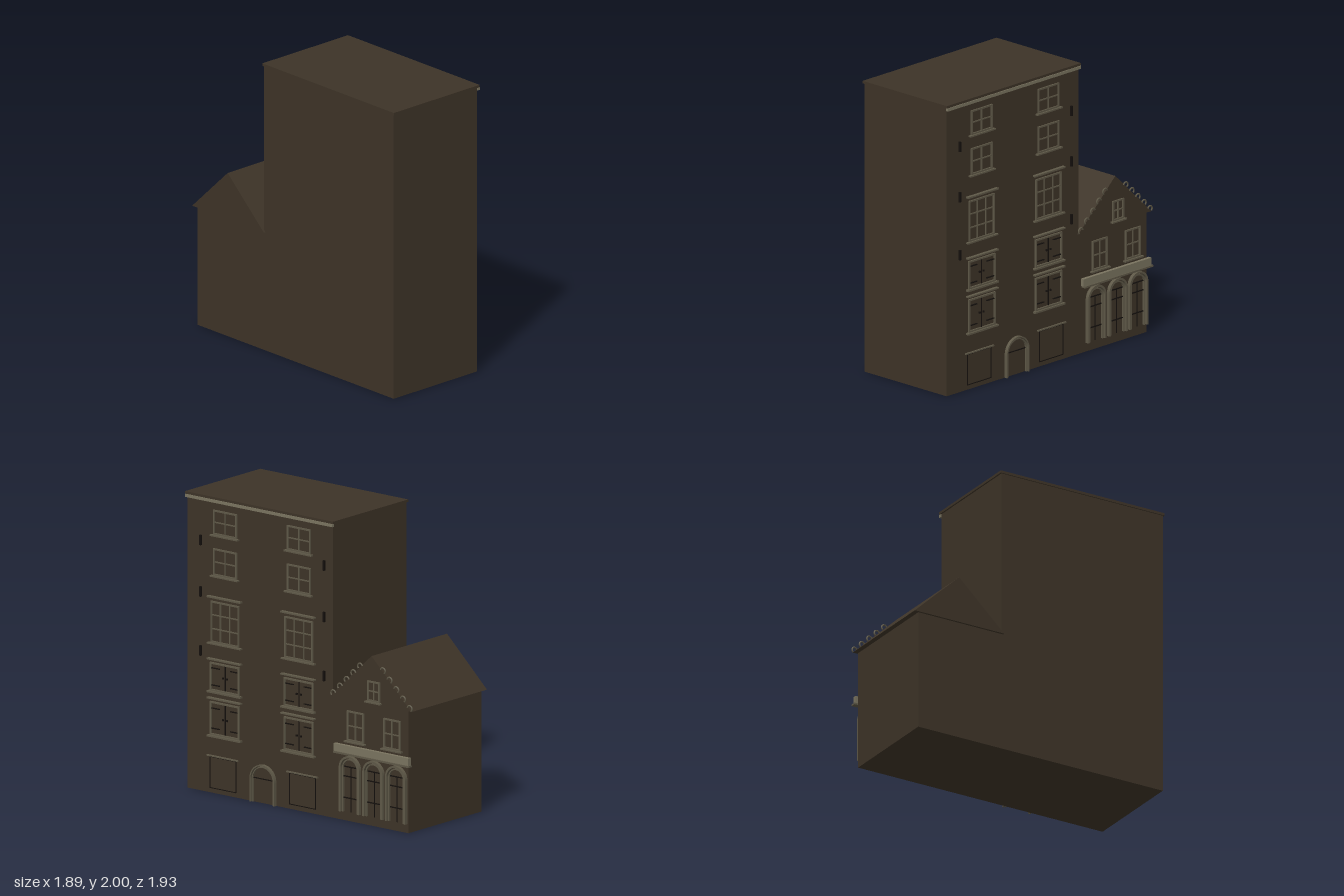
import * as THREE from 'three';

const mat = (name, color) => Object.assign(new THREE.MeshStandardMaterial({ color }), { name });

export function createModel() {
  const wall = mat('wall brown', 0x3d3327);
  const trim = mat('pale stone trim', 0x79735f);
  const frame = mat('frame stone', 0x5e5847);
  const iron = mat('dark iron', 0x14100d);

  const model = new THREE.Group();
  model.name = 'townHouses';
  // Facade frame: x runs along the facade, z points out of it
  const b = new THREE.Group();
  b.name = 'building';
  b.rotation.y = 2.33;
  b.position.set(0.925, 0, 0.435);
  model.add(b);

  const add = (name, geo, material, x = 0, y = 0, z = 0) => {
    const m = new THREE.Mesh(geo, material);
    m.name = name;
    m.position.set(x, y, z);
    b.add(m);
    return m;
  };
  // Box from its lower and upper limits
  const block = (name, material, x0, x1, y0, y1, z0, z1) =>
    add(name, new THREE.BoxGeometry(x1 - x0, y1 - y0, z1 - z0), material,
      (x0 + x1) / 2, (y0 + y1) / 2, (z0 + z1) / 2);
  // Horizontal or vertical strip lying on the facade
  const strip = (name, material, cx, cy, w, h, d) =>
    block(name, material, cx - w / 2, cx + w / 2, cy - h / 2, cy + h / 2, -0.002, d);

  // Main volumes
  const D = -0.746;
  block('tower', wall, 0, 1.24, 0, 1.985, D, 0);
  block('towerRoof', wall, -0.01, 1.25, 1.983, 2, D - 0.008, 0.012);
  block('towerCornice', trim, -0.006, 1.246, 1.963, 1.983, -0.002, 0.018);
  block('house', wall, 1.24, 1.88, 0, 0.826, D, 0);
  const gable = new THREE.Shape([[1.228, 0.825], [1.915, 0.825], [1.575, 1.147]]
    .map(p => new THREE.Vector2(...p)));
  add('houseRoof', new THREE.ExtrudeGeometry(gable, { depth: 0.77, bevelEnabled: false }), wall, 0, 0, -0.76);
  const G = 0.01; // front plane of the gable

  // Rectangular frame with glazing bars
  const rectFrame = (name, material, cx, y0, y1, w, t, d, z = 0) => {
    for (const s of [-1, 1]) {
      const x = cx + s * (w - t) / 2;
      block(name + 'Side', material, x - t / 2, x + t / 2, y0, y1, z - 0.002, z + d);
      const y = s < 0 ? y0 + t / 2 : y1 - t / 2;
      block(name + 'Rail', material, cx - w / 2, cx + w / 2, y - t / 2, y + t / 2, z - 0.002, z + d);
    }
  };
  const windowAt = (cx, y0, y1, w, cols, rows, sill, z = 0) => {
    rectFrame('windowFrame', frame, cx, y0, y1, w, 0.011, 0.01, z);
    for (let i = 1; i < cols; i++) {
      const x = cx - w / 2 + w * i / cols;
      block('windowMullion', frame, x - 0.004, x + 0.004, y0, y1, z - 0.002, z + 0.008);
    }
    for (let j = 1; j < rows; j++) {
      const y = y0 + (y1 - y0) * j / rows;
      block('windowBar', frame, cx - w / 2, cx + w / 2, y - 0.004, y + 0.004, z - 0.002, z + 0.007);
    }
    block('windowSill', frame, cx - sill / 2, cx + sill / 2, y0 - 0.01, y0, z - 0.002, z + 0.022);
  };
  // Closed pair of shutters with strap hinges
  const shutters = (cx, y0, y1, w) => {
    rectFrame('shutterFrame', frame, cx, y0, y1, w, 0.011, 0.012);
    strip('shutterGap', iron, cx, (y0 + y1) / 2, 0.005, y1 - y0 - 0.022, 0.005);
    for (const s of [-1, 1]) {
      for (const f of [0.2, 0.8])
        strip('strapHinge', iron, cx + s * w * 0.33, y0 + (y1 - y0) * f, w * 0.3, 0.006, 0.01);
      strip('shutterKnob', iron, cx + s * 0.018, (y0 + y1) / 2, 0.01, 0.012, 0.01);
    }
    strip('shutterLintel', frame, cx, y1 + 0.023, w + 0.035, 0.01, 0.024);
    strip('shutterSill', frame, cx, y0 - 0.006, w + 0.035, 0.012, 0.024);
  };

  // Tower windows, two columns
  for (const cx of [0.324, 0.952]) {
    windowAt(cx, 1.745, 1.912, 0.2, 2, 2, 0.235);
    windowAt(cx, 1.47, 1.652, 0.2, 2, 2, 0.235);
    windowAt(cx, 1.015, 1.295, 0.24, 3, 3, 0.285);
    strip('windowLintel', frame, cx, 1.324, 0.285, 0.011, 0.024);
    shutters(cx, 0.69, 0.882, 0.25);
    shutters(cx, 0.392, 0.618, 0.25);
  }
  // Ground floor openings
  for (const cx of [0.303, 0.982]) {
    rectFrame('groundPanel', iron, cx, 0.03, 0.245, 0.225, 0.005, 0.004);
    strip('groundLintel', frame, cx, 0.25, 0.265, 0.009, 0.012);
  }
  // Wall anchors
  for (const cx of [0.117, 1.166])
    for (const cy of [1.69, 1.343, 0.945]) strip('wallAnchor', iron, cx, cy, 0.014, 0.068, 0.014);

  // Arched surround, open at the foot
  const arch = (name, material, cx, y0, top, w, t, d) => {
    const r = w / 2, spring = top - r, s = new THREE.Shape();
    s.moveTo(r, y0);
    s.lineTo(r, spring);
    s.absarc(0, spring, r, 0, Math.PI, false);
    s.lineTo(-r, y0);
    s.lineTo(-r + t, y0);
    s.lineTo(-r + t, spring);
    s.absarc(0, spring, r - t, Math.PI, 0, true);
    s.lineTo(r - t, y0);
    s.closePath();
    add(name, new THREE.ExtrudeGeometry(s, { depth: d + 0.002, bevelEnabled: false, curveSegments: 14 }),
      material, cx, 0, -0.002);
  };
  // Door
  arch('doorSurround', frame, 0.651, 0, 0.262, 0.212, 0.009, 0.022);
  arch('doorInnerSurround', frame, 0.651, 0, 0.248, 0.184, 0.007, 0.014);
  strip('doorTransom', iron, 0.651, 0.163, 0.17, 0.006, 0.006);

  // House arcade
  for (const cx of [1.393, 1.593, 1.786]) {
    arch('arcadeSurround', frame, cx, 0.06, 0.442, 0.172, 0.014, 0.024);
    arch('arcadeInnerSurround', frame, cx, 0.06, 0.422, 0.132, 0.009, 0.014);
    strip('arcadeGap', iron, cx, 0.21, 0.005, 0.3, 0.005);
    for (const cy of [0.365, 0.3, 0.155]) strip('arcadeStrap', iron, cx, cy, 0.115, 0.007, 0.007);
  }
  block('houseCornice', trim, 1.262, 1.9, 0.462, 0.512, -0.002, 0.025);
  block('houseCorniceFoot', frame, 1.268, 1.908, 0.45, 0.462, -0.002, 0.034);

  // House windows
  for (const cx of [1.434, 1.745]) windowAt(cx, 0.542, 0.746, 0.142, 2, 2, 0.175);
  windowAt(1.597, 0.842, 0.98, 0.105, 2, 2, 0.135, G);

  // Curled ornaments climbing both gable slopes
  for (const s of [-1, 1])
    for (let i = 0; i < 5; i++) {
      const f = 0.03 + i * 0.17;
      const x = 1.575 + s * 0.335 * (1 - f), y = 0.827 + 0.32 * f;
      const curl = add('gableCurl', new THREE.TorusGeometry(0.02, 0.006, 6, 12, Math.PI * 1.2),
        frame, x, y + 0.008, G);
      curl.rotation.z = s > 0 ? -0.9 : 0.25;
    }
  return model;
}
